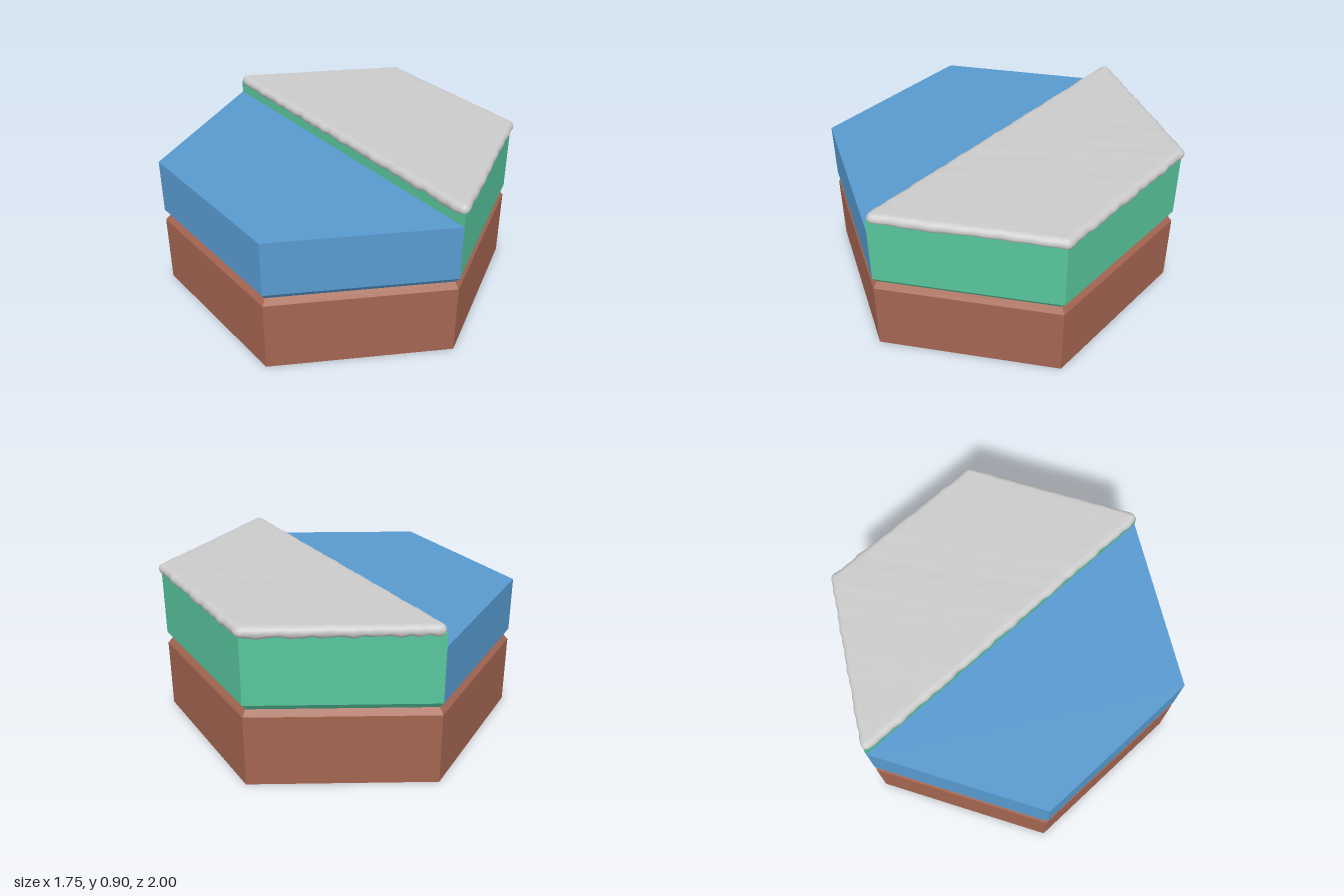
import * as THREE from 'three';

const CX = -0.011; // hexagon axis
const mat = (color) => new THREE.MeshStandardMaterial({ color });

// corners first..last of a unit hexagon, counter-clockwise from above
function hexCorners(first, last) {
  const pts = [];
  for (let k = first; k <= last; k++) {
    const a = (k * Math.PI) / 3;
    pts.push([Math.sin(a), Math.cos(a)]);
  }
  return pts;
}

// stacks scaled copies of an outline into a closed, faceted prism
function prism(name, pts, levels, color) {
  const pos = [], n = pts.length, last = levels.length - 1;
  const put = (l, i) => {
    const [s, y] = levels[l], p = pts[i % n];
    pos.push(CX + p[0] * s, y, p[1] * s);
  };
  const tri = (...c) => c.forEach(([l, i]) => put(l, i));
  for (let l = 0; l < last; l++) {
    for (let i = 0; i < n; i++) {
      tri([l, i], [l, i + 1], [l + 1, i + 1]);
      tri([l, i], [l + 1, i + 1], [l + 1, i]);
    }
  }
  for (let i = 1; i < n - 1; i++) {
    tri([last, 0], [last, i], [last, i + 1]);
    tri([0, 0], [0, i + 1], [0, i]);
  }
  const g = new THREE.BufferGeometry();
  g.setAttribute('position', new THREE.Float32BufferAttribute(pos, 3));
  g.computeVertexNormals();
  const mesh = new THREE.Mesh(g, mat(color));
  mesh.name = name;
  return mesh;
}

// samples along the half-hexagon rim: inset point plus outward normal, corners rounded
function rimSamples(inset) {
  const pts = hexCorners(0, 3), n = pts.length, out = [];
  const normals = pts.map((p, i) => {
    const q = pts[(i + 1) % n];
    return new THREE.Vector2(q[1] - p[1], p[0] - q[0]).normalize().negate();
  });
  const corners = pts.map((p, i) => {
    const a = normals[(i + n - 1) % n], b = normals[i];
    const k = -inset / (1 + a.dot(b));
    return new THREE.Vector2(...p).addScaledVector(a, k).addScaledVector(b, k);
  });
  for (let i = 0; i < n; i++) {
    const a = normals[(i + n - 1) % n], b = normals[i], c = corners[i], d = corners[(i + 1) % n];
    const turn = Math.atan2(a.x * b.y - a.y * b.x, a.dot(b));
    for (let k = 0; k < 6; k++) {
      out.push([c, a.clone().rotateAround(new THREE.Vector2(), (turn * k) / 6)]);
    }
    const steps = Math.round(c.distanceTo(d) / 0.016);
    for (let k = 0; k < steps; k++) out.push([c.clone().lerp(d, k / steps), b]);
  }
  return out;
}

// soft snow sheet with a rounded, lumpy lip
function snowCap() {
  const rim = rimSamples(0.02), n = rim.length;
  const centre = new THREE.Vector2(0.39, 0);
  const wave = (x, z) =>
    (Math.sin(17 * x + 23 * z) + Math.sin(41 * z - 29 * x + 1.3) + Math.sin(71 * z + 53 * x + 4)) / 3;
  const scallop = (x, z) => Math.abs(Math.sin(24 * z + 15 * x + 1.5 * Math.sin(9 * z + 2)));
  const pos = [], idx = [];
  const inner = 14, lip = 10, rings = inner + lip + 2;
  for (let r = 0; r < rings; r++) {
    for (const [p, nrm] of rim) {
      const w = wave(p.x, p.y);
      let q, y;
      if (r < inner) { // nearly flat top
        q = centre.clone().lerp(p, r / inner);
        y = 0.894 + 0.002 * wave(q.x * 0.6, q.y * 0.6);
      } else if (r <= inner + lip) { // rounded edge
        const t = Math.PI * (0.5 - (r - inner) / lip);
        q = p.clone().addScaledVector(nrm, (0.034 + 0.006 * w) * Math.cos(t));
        const drop = 0.026 + 0.011 * scallop(p.x, p.y) + 0.004 * w;
        y = 0.863 + Math.sin(t) * (t > 0 ? 0.031 + 0.002 * wave(p.x * 0.6, p.y * 0.6) : drop);
      } else { // tucked underside
        q = p.clone().addScaledVector(nrm, -0.02);
        y = 0.835;
      }
      pos.push(CX + q.x, y, q.y);
    }
  }
  for (let r = 0; r < rings - 1; r++) {
    for (let i = 0; i < n; i++) {
      const a = r * n + i, b = r * n + ((i + 1) % n);
      if (r > 0) idx.push(a, a + n, b);
      idx.push(b, a + n, b + n);
    }
  }
  const g = new THREE.BufferGeometry();
  g.setAttribute('position', new THREE.Float32BufferAttribute(pos, 3));
  g.setIndex(idx);
  g.computeVertexNormals();
  // the fan tip has coincident vertices: give them one upward normal
  for (let i = 0; i < n; i++) g.attributes.normal.setXYZ(i, 0, 1, 0);
  const material = mat(0xcccccc);
  material.side = THREE.DoubleSide;
  const mesh = new THREE.Mesh(g, material);
  mesh.name = 'snowCap';
  return mesh;
}

export function createModel() {
  const group = new THREE.Group();
  group.name = 'hexTile';
  // earth base, chamfered at its top edge
  group.add(prism('earthBase', hexCorners(0, 5), [[1, 0], [1, 0.4], [0.971, 0.433]], 0xa46551));
  // land and water halves, chamfered at their lower edge
  group.add(prism('landHalf', hexCorners(0, 3), [[0.971, 0.433], [1, 0.467], [1, 0.855]], 0x58c69d));
  group.add(prism('waterHalf', hexCorners(3, 6), [[0.971, 0.433], [1, 0.467], [1, 0.78]], 0x589ad0));
  group.add(snowCap());
  return group;
}
